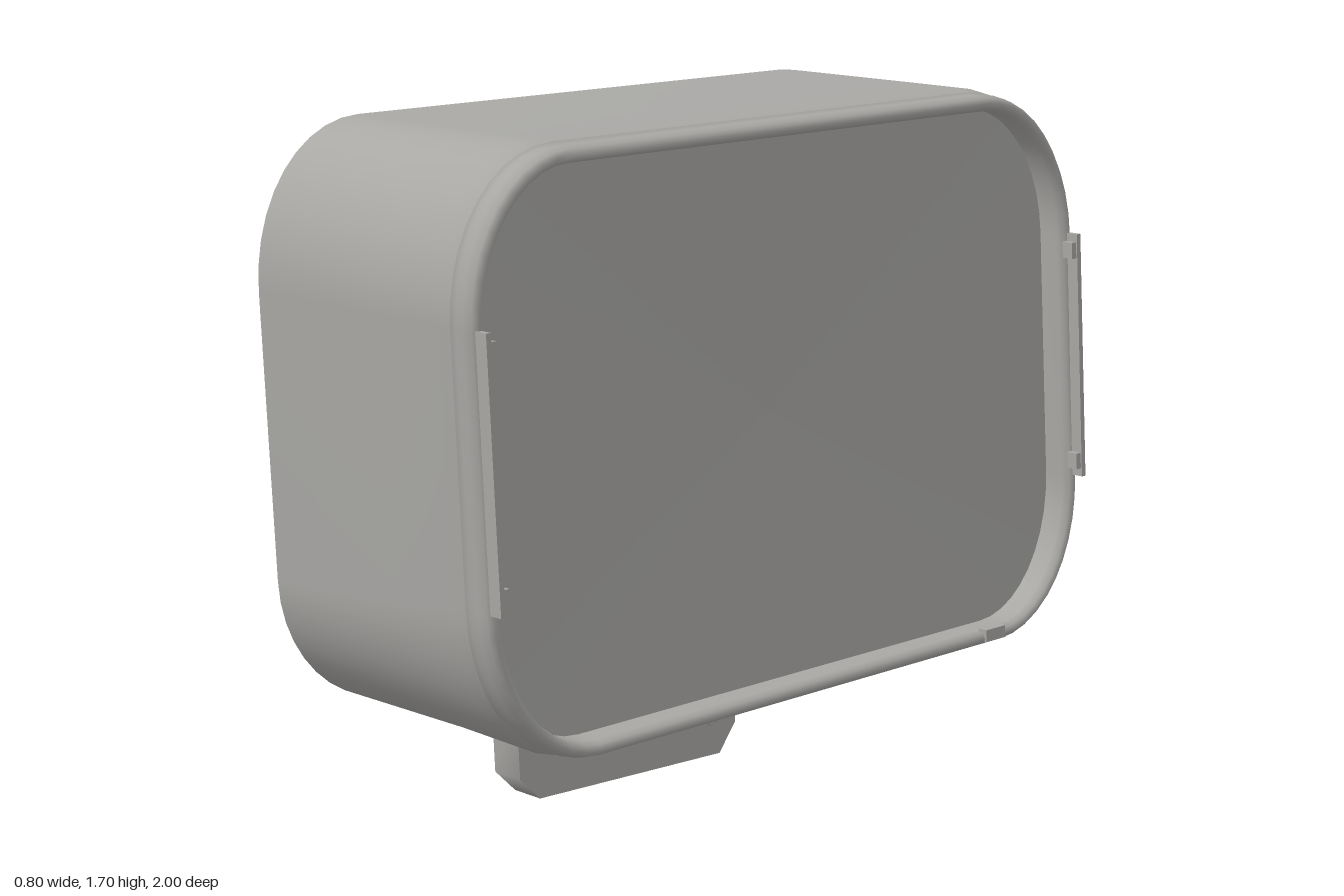
import * as THREE from 'three';

const LEAN = -0.06; // the whole housing leans back as it rises

export function createModel() {
  const model = new THREE.Group();
  const grey = new THREE.MeshStandardMaterial({ color: 0xa9a8a5, side: THREE.DoubleSide });
  grey.name = 'grey metal';

  // Shears a geometry by the lean and adds it as a named part
  function add(name, geometry) {
    const p = geometry.attributes.position;
    for (let i = 0; i < p.count; i++) p.setX(i, p.getX(i) + LEAN * (p.getY(i) - 1));
    geometry.computeVertexNormals();
    const mesh = new THREE.Mesh(geometry, grey);
    mesh.name = name;
    model.add(mesh);
  }

  // Skins equal-length rings of [x, y, z] points
  function loft(rings, closed = true, skip = () => false) {
    const n = rings[0].length, index = [];
    for (let r = 0; r < rings.length - 1; r++) {
      for (let i = 0; i < (closed ? n : n - 1); i++) {
        if (skip(r, i)) continue;
        const j = (i + 1) % n, a = r * n + i, b = r * n + j;
        index.push(a, b, a + n, b, b + n, a + n);
      }
    }
    const g = new THREE.BufferGeometry();
    g.setAttribute('position', new THREE.Float32BufferAttribute(rings.flat(2), 3));
    g.setIndex(index);
    return g;
  }

  // Rounded-rectangle ring; its bottom edge has two extra points for the notch.
  // lift raises the lower left corner, which is cut shallower toward the back.
  const ARC = 10, NOTCH = 0.37;
  function ring(x, hz, top, bottom, inset = 0, lift = 0) {
    const pts = [], rz = 0.31 - inset, rTop = 0.37 - inset, rBot = 0.38 - inset;
    hz -= inset; top -= inset; bottom += inset;
    const corner = (cz, cy, ry, start) => {
      for (let k = 0; k <= ARC; k++) {
        const a = start + (k / ARC) * Math.PI / 2;
        pts.push([x, cy + Math.sin(a) * ry, cz + Math.cos(a) * rz]);
      }
    };
    corner(hz - rz, top - rTop, rTop, 0);
    corner(-hz + rz, top - rTop, rTop, Math.PI / 2);
    corner(-hz + rz, bottom + rBot, rBot, Math.PI);
    pts.push([x, bottom, -NOTCH], [x, bottom + lift * 0.2, NOTCH]);
    corner(hz - rz, bottom + rBot, rBot - lift, 1.5 * Math.PI);
    return pts;
  }

  // Outer shell, open at the back, with a notch in the floor
  const BACK = -0.358, FRONT_OF_NOTCH = 0.06;
  const notchEdge = 3 * (ARC + 1);
  add('shell', loft([
    ring(BACK, 0.998, 1.7, 0.288, 0, 0.055),
    ring(FRONT_OF_NOTCH, 0.995, 1.7, 0.318, 0, 0.025),
    ring(0.25, 0.99, 1.7, 0.335),
    ring(0.29, 0.985, 1.695, 0.34),
  ], true, (r, i) => r === 0 && i === notchEdge));

  // Rolled rim around the front opening: [x, inset]
  const rimProfile = [[0.29, 0], [0.30, 0.006], [0.325, 0.004], [0.348, 0.01], [0.36, 0.022],
    [0.354, 0.036], [0.335, 0.042], [0.28, 0.042]];
  add('rim', loft(rimProfile.map(([x, inset]) => ring(x, 0.985, 1.695, 0.34, inset))));

  // Very shallow reflector, sloping straight from the rim to its centre
  const edge = ring(0, 0.985, 1.695, 0.34, 0.042);
  add('reflector', loft([0, 0.5, 1].map((t) =>
    edge.map(([, y, z]) => [0.235 + 0.047 * t, 1.01 + (y - 1.01) * t, z * t]))));

  // Raised recess over the notch: two sides, roof and sloping front wall
  const ROOF = 0.505;
  const recess = (x, xRoof, floor) => [[x, floor, -NOTCH], [xRoof, ROOF, -NOTCH], [xRoof, ROOF, NOTCH], [x, floor, NOTCH]];
  const front = recess(FRONT_OF_NOTCH, 0.11, 0.318);
  add('recess', loft([recess(BACK, BACK, 0.29), front], false).toNonIndexed());
  add('recessFrontWall', loft([[front[0], front[3]], [front[1], front[2]]], false));

  // Hanging bracket: face plate with a lip bent toward the back
  const outline = [[0.38, 0.29], [0.38, 0.08], [0.32, 0.02], [-0.29, 0.0], [-0.35, 0.07], [-0.35, 0.28]];
  const face = new THREE.Shape(outline.map(([z, y]) => new THREE.Vector2(-z, y)));
  add('bracketPlate', new THREE.ShapeGeometry(face).rotateY(Math.PI / 2).translate(-0.275, 0, 0));
  add('bracketLip', loft([-0.367, -0.275].map((x) => outline.map(([z, y]) => [x, y, z])), false));

  // Rounded tabs and rivets at the top corners of the bracket
  for (const [tabZ, rivetZ] of [[0.34, 0.295], [-0.325, -0.285]]) {
    const tab = new THREE.Shape();
    tab.moveTo(-0.275, 0.31);
    tab.lineTo(-0.275, 0.22);
    tab.lineTo(-0.20, 0.22);
    tab.quadraticCurveTo(-0.165, 0.22, -0.165, 0.255);
    tab.lineTo(-0.165, 0.31);
    add('bracketTab', new THREE.ExtrudeGeometry(tab, { depth: 0.02, bevelEnabled: false }).translate(0, 0, tabZ - 0.01));
    add('bracketRivet', new THREE.SphereGeometry(0.013, 12, 8).translate(-0.272, 0.28, rivetZ));
  }

  // Screw on the bracket face
  const disc = (r, h, x) => new THREE.CylinderGeometry(r, r, h, 20).toNonIndexed()
    .rotateZ(Math.PI / 2).translate(x, 0.105, -0.27);
  add('screwWasher', disc(0.028, 0.012, -0.27));
  add('screwHead', disc(0.015, 0.025, -0.258));

  // Slim clip plates with end lugs on both sides of the rim
  const box = (x, y, z, px, py, pz) => new THREE.BoxGeometry(x, y, z).toNonIndexed().translate(px, py, pz);
  for (const s of [1, -1]) {
    add('sideClip', box(0.05, 0.61, 0.014, 0.363, 1.025, s * 0.963));
    for (const y of [0.76, 1.29]) add('clipLug', box(0.03, 0.04, 0.02, 0.37, y, s * 0.95));
  }

  // Small seam clip on the lower rim
  add('rimClip', box(0.025, 0.03, 0.07, 0.352, 0.372, -0.64));
  return model;
}
